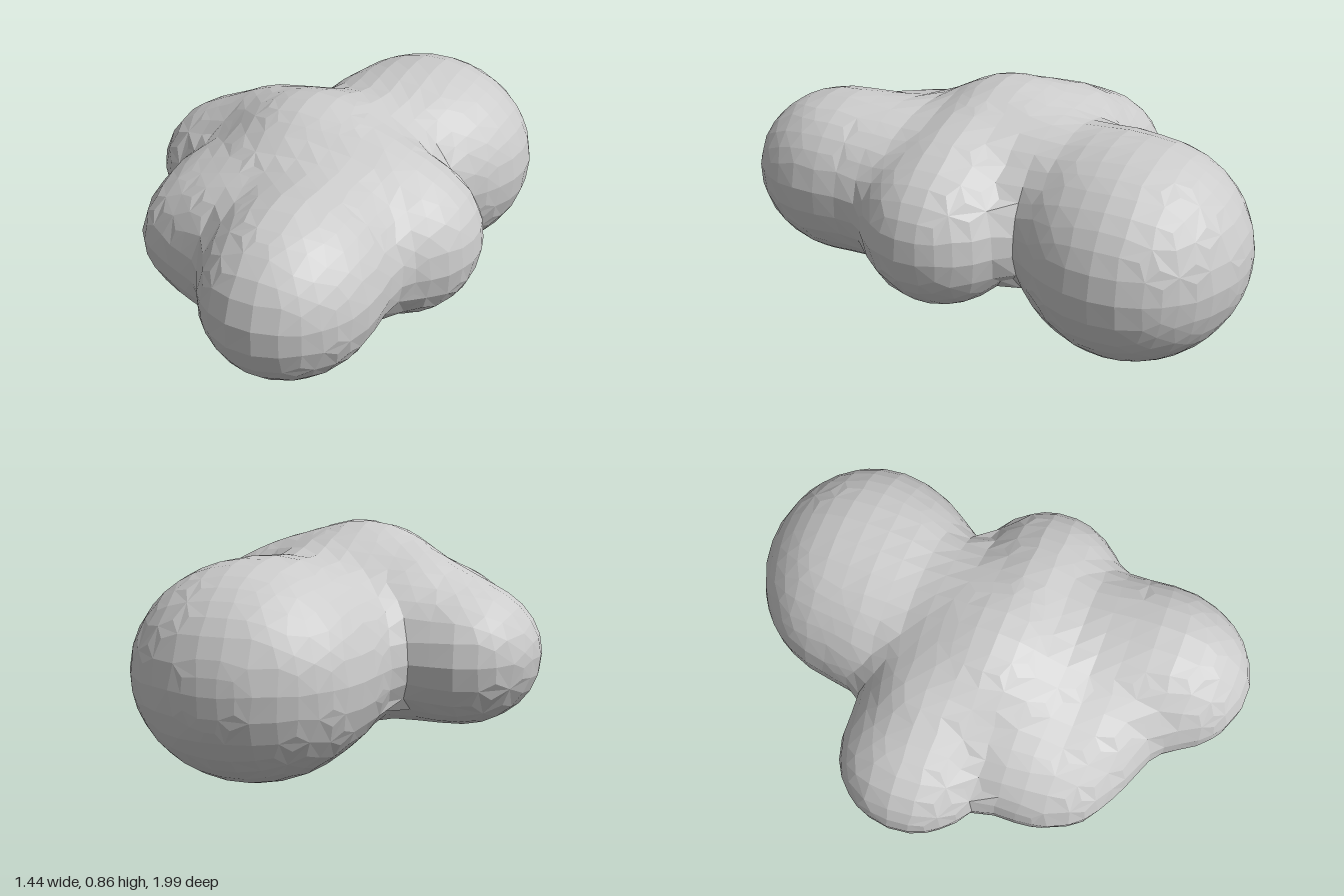
import * as THREE from 'three';

// Lobes: centre x, y, z and radii x, y, z
const LOBES = [
  [0.22, 0.40, -0.58, 0.45, 0.40, 0.42],   // back
  [0.15, 0.42, -0.41, 0.41, 0.36, 0.29],   // neck to back
  [0.10, 0.47, -0.17, 0.36, 0.33, 0.27],   // middle to neck
  [-0.42, 0.41, -0.12, 0.30, 0.27, 0.30],  // side
  [-0.18, 0.46, -0.10, 0.36, 0.33, 0.30],  // side to middle
  [0.01, 0.505, 0.04, 0.38, 0.36, 0.34],   // middle
  [-0.23, 0.41, 0.22, 0.29, 0.27, 0.22],   // side to front side
  [0.00, 0.45, 0.24, 0.36, 0.31, 0.27],    // middle to front side
  [-0.22, 0.40, 0.36, 0.30, 0.25, 0.29],   // front side
  [0.00, 0.43, 0.48, 0.34, 0.28, 0.26],    // front side to front
  [0.42, 0.425, 0.11, 0.30, 0.295, 0.31],  // other side
  [0.24, 0.47, 0.10, 0.34, 0.33, 0.27],    // middle to other side
  [0.20, 0.45, 0.38, 0.34, 0.31, 0.30],    // neck to front
  [0.23, 0.465, 0.62, 0.325, 0.325, 0.38], // front
];
const BLEND = 0.08;

// Approximate distance to one ellipsoid
function lobeDistance([px, py, pz], [cx, cy, cz, rx, ry, rz]) {
  const x = (px - cx) / rx, y = (py - cy) / ry, z = (pz - cz) / rz;
  const k = Math.hypot(x, y, z);
  return k * (k - 1) / (Math.hypot(x / rx, y / ry, z / rz) + 1e-6);
}

// Softly blended union of all lobes
function distance(p) {
  return LOBES.reduce((d, lobe) => {
    const e = lobeDistance(p, lobe);
    const h = Math.max(BLEND - Math.abs(d - e), 0) / BLEND;
    return Math.min(d, e) - h * h * BLEND / 4;
  }, 10);
}

const mean = points => [0, 1, 2].map(a => points.reduce((sum, p) => sum + p[a], 0) / points.length);

// Slide a point along the slope until it sits on the surface
function settle(p) {
  const eps = 0.002;
  for (let step = 0; step < 3; step++) {
    const d = distance(p);
    const slope = p.map((_, a) => (distance(p.map((v, b) => v + (a === b ? eps : 0))) - d) / eps);
    const s = d / Math.max(slope.reduce((sum, v) => sum + v * v, 0), 0.3);
    p = p.map((v, a) => v - s * slope[a]);
  }
  return p;
}

// Wrap the lobes in a skin of even quads: one vertex per grid cell the surface crosses
function buildSkin() {
  const cell = 0.09, start = [-0.95, -0.17, -1.25], count = [22, 15, 29];
  const position = g => g.map((v, a) => start[a] + v * cell);
  const key = g => (g[0] * count[1] + g[1]) * count[2] + g[2];
  const shift = (g, a, n) => g.map((v, b) => v + (a === b ? n : 0));

  const grid = [], values = [];
  for (let i = 0; i < count[0]; i++)
    for (let j = 0; j < count[1]; j++)
      for (let k = 0; k < count[2]; k++) {
        grid.push([i, j, k]);
        values.push(distance(position([i, j, k])));
      }

  // Collect where each grid edge crosses, for the four cells around it
  const cells = new Map(), quads = [];
  for (const g of grid)
    for (let a = 0; a < 3; a++) {
      const next = shift(g, a, 1);
      if (next[a] >= count[a]) continue;
      const d0 = values[key(g)], d1 = values[key(next)];
      if ((d0 < 0) === (d1 < 0)) continue;
      const crossing = position(shift(g, a, d0 / (d0 - d1)));
      const u = (a + 1) % 3, v = (a + 2) % 3;
      const gu = shift(g, u, -1);
      const quad = [g, gu, shift(gu, v, -1), shift(g, v, -1)].map(key);
      for (const c of quad) {
        if (!cells.has(c)) cells.set(c, { id: cells.size, points: [] });
        cells.get(c).points.push(crossing);
      }
      const ids = quad.map(c => cells.get(c).id);
      quads.push(d0 < 0 ? ids : ids.reverse());
    }

  // Even out the quads while keeping every vertex on the surface
  let vertices = [...cells.values()].map(c => settle(mean(c.points)));
  const neighbours = vertices.map(() => []);
  for (const quad of quads) quad.forEach((id, i) => neighbours[id].push(quad[(i + 1) % 4]));
  for (let pass = 0; pass < 4; pass++) {
    vertices = vertices.map((p, i) => settle(mean([p, mean(neighbours[i].map(n => vertices[n]))])));
  }

  const geo = new THREE.BufferGeometry();
  geo.setAttribute('position', new THREE.Float32BufferAttribute(vertices.flat(), 3));
  geo.setIndex(quads.flatMap(([a, b, c, d]) => [a, b, c, a, c, d]));
  geo.computeVertexNormals();
  return geo;
}

export function createModel() {
  const group = new THREE.Group();
  group.name = 'lobedRock';
  const rock = new THREE.Mesh(buildSkin(), new THREE.MeshStandardMaterial({ color: 0xcccccc, flatShading: true }));
  rock.name = 'rockBody';
  group.add(rock);
  return group;
}
